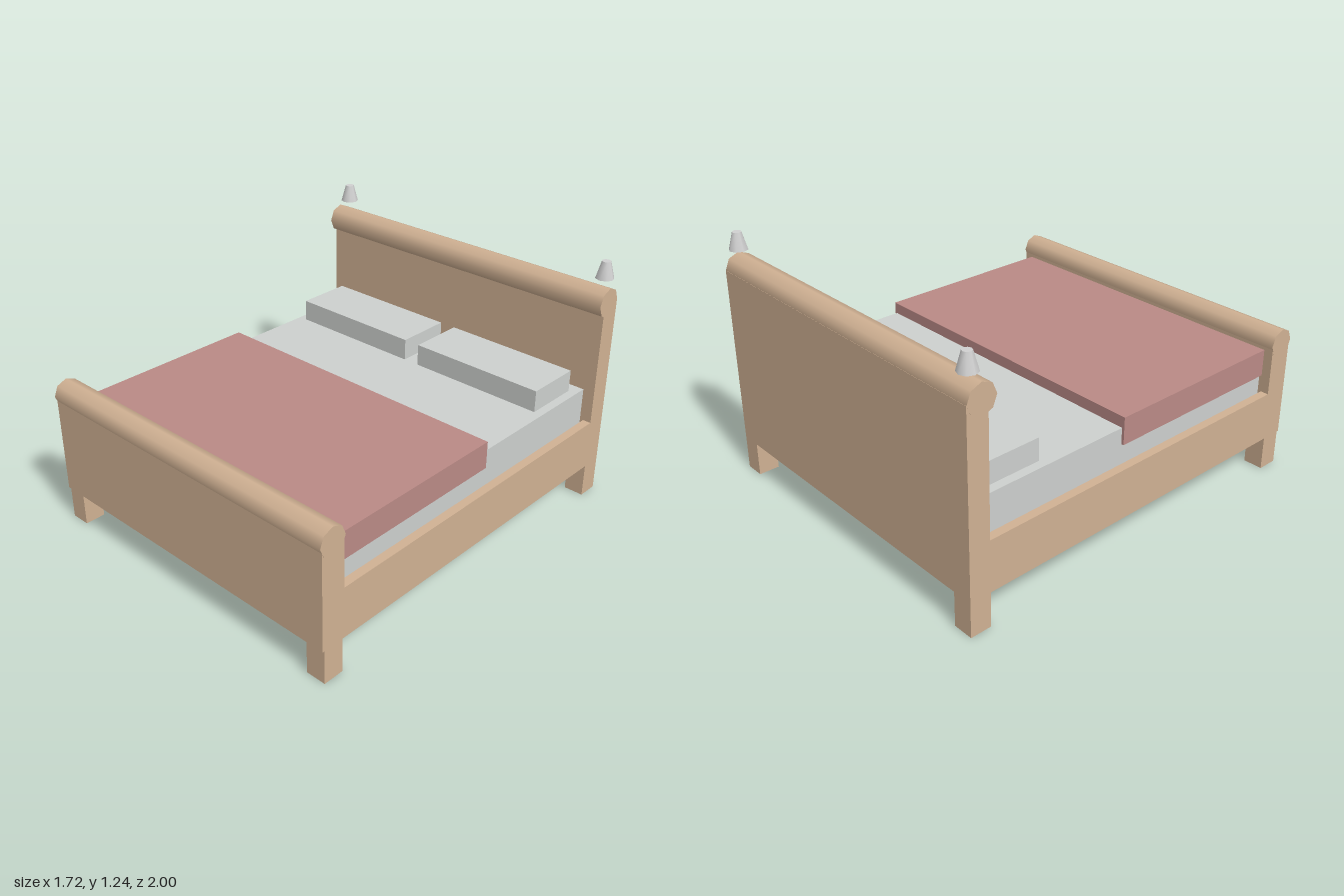
import * as THREE from 'three';

const material = (name, color) => {
  const m = new THREE.MeshStandardMaterial({ color });
  m.name = name;
  return m;
};

export function createModel() {
  const bed = new THREE.Group();
  bed.name = 'bed';
  const wood = material('wood', 0xd0b193);
  const linen = material('linen', 0xcdd0ce);
  const cloth = material('blanket red', 0xba8a86);
  const metal = material('metal', 0xd0d0d0);

  const add = (name, geometry, mat) => {
    const mesh = new THREE.Mesh(geometry, mat);
    mesh.name = name;
    bed.add(mesh);
    return mesh;
  };
  // Box given by its limits on each axis
  const box = (name, mat, [x0, x1], [y0, y1], [z0, z1]) =>
    add(name, new THREE.BoxGeometry(x1 - x0, y1 - y0, z1 - z0), mat)
      .position.set((x0 + x1) / 2, (y0 + y1) / 2, (z0 + z1) / 2);
  // Eight-sided roll lying along the top of a board
  const roll = (name, y, z, r) =>
    add(name, new THREE.CylinderGeometry(r, r, 1.715, 8).rotateZ(Math.PI / 2), wood)
      .position.set(0, y, z);

  // Headboard and footboard with their rolls
  const W = 0.857;
  box('headboard', wood, [-W, W], [0.17, 1.05], [-1, -0.895]);
  roll('headboardRoll', 1.05, -0.926, 0.073);
  box('footboard', wood, [-W, W], [0.17, 0.675], [0.867, 0.99]);
  roll('footboardRoll', 0.673, 0.93, 0.07);

  // Base, mattress and blanket
  box('base', wood, [-0.815, 0.815], [0.17, 0.4], [-0.895, 0.867]);
  box('mattress', linen, [-0.797, 0.797], [0.4, 0.585], [-0.895, 0.867]);
  box('blanket', cloth, [-0.81, 0.81], [0.505, 0.64], [-0.1, 0.867]);

  // Parts mirrored on both sides
  for (const s of [-1, 1]) {
    const side = s < 0 ? 'right' : 'left';
    const span = (a, b) => (s < 0 ? [-b, -a] : [a, b]);
    box(side + 'Rail', wood, span(0.815, W), [0.17, 0.42], [-0.895, 0.867]);
    box(side + 'FrontLeg', wood, span(0.757, W), [0, 0.17], [0.877, 0.98]);
    box(side + 'BackLeg', wood, span(0.757, W), [0, 0.17], [-1, -0.895]);
    box(side + 'Pillow', linen, span(0.042, 0.753), [0.585, 0.695], [-0.832, -0.543]);
    add(side + 'Finial', new THREE.CylinderGeometry(0.022, 0.045, 0.085, 8), metal)
      .position.set(s * 0.807, 1.197, -0.949);
  }
  return bed;
}
